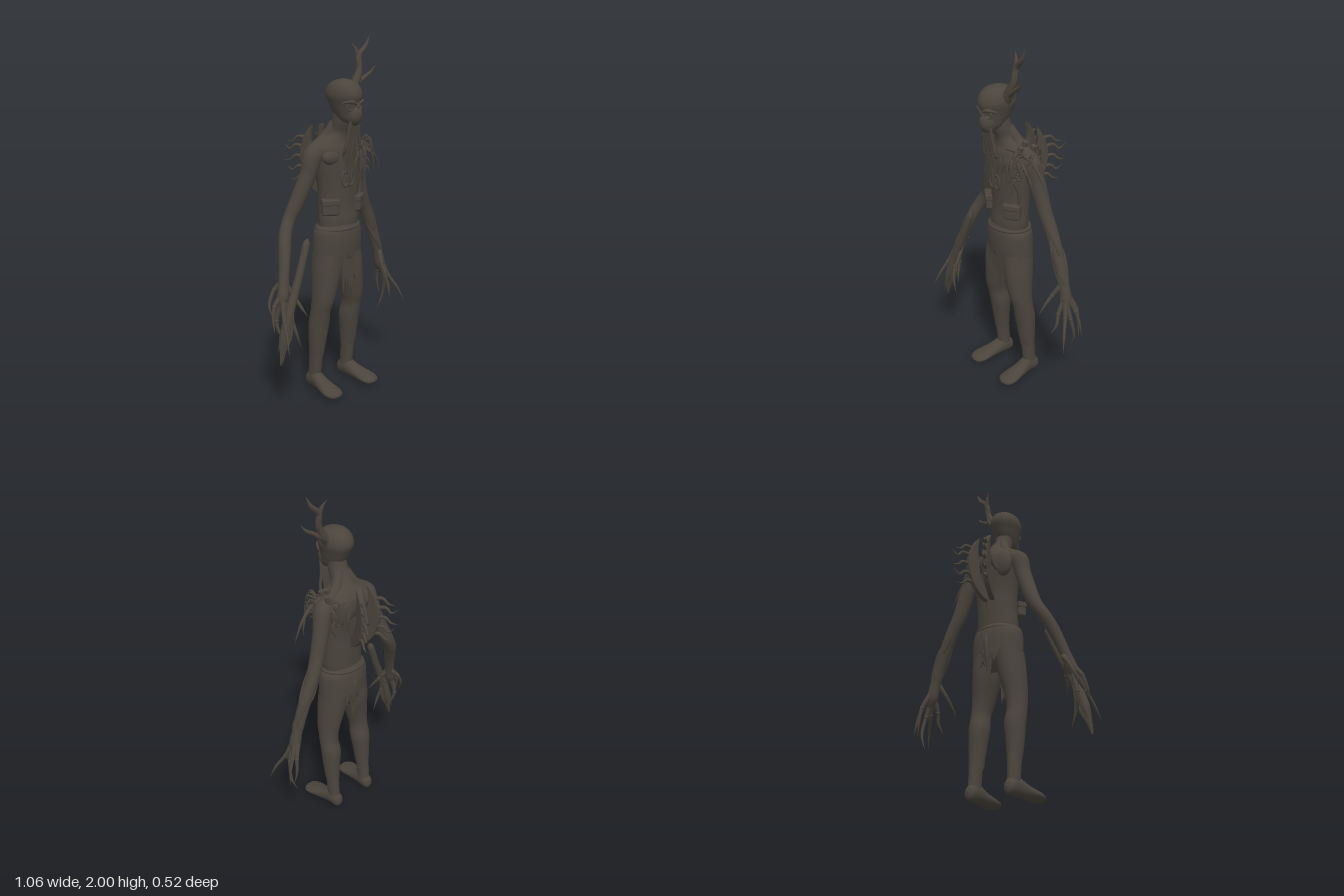
import * as THREE from 'three';
import { RoundedBoxGeometry } from 'three/addons/geometries/RoundedBoxGeometry.js';

const hide = new THREE.MeshStandardMaterial({ color: 0x4a443c, side: THREE.DoubleSide });
hide.name = 'dark bark';

let seed = 7;
const rnd = (a, b) => {
  seed = (seed * 16807) % 2147483647;
  return a + (b - a) * seed / 2147483647;
};
const V = (p) => new THREE.Vector3(...p);

export function createModel() {
  const model = new THREE.Group();
  const add = (name, geo, parent = model) => {
    const m = new THREE.Mesh(geo, hide);
    m.name = name;
    parent.add(m);
    return m;
  };
  const group = (name) => {
    const g = new THREE.Group();
    g.name = name;
    model.add(g);
    return g;
  };

  // Joins equal rings of points into a smooth skin
  const skin = (rings) => {
    const n = rings[0].length, pos = [], idx = [];
    rings.forEach((r) => r.forEach((p) => pos.push(p.x, p.y, p.z)));
    for (let i = 0; i < rings.length - 1; i++) for (let j = 0; j < n; j++) {
      const a = i * n + j, b = i * n + (j + 1) % n;
      idx.push(a, b, a + n, b, b + n, a + n);
    }
    const g = new THREE.BufferGeometry();
    g.setAttribute('position', new THREE.Float32BufferAttribute(pos, 3));
    g.setIndex(idx);
    g.computeVertexNormals();
    return g;
  };

  // Body volume from rows of x, y, z, half width, half depth, rising in y; ragged tears the lowest edge
  const loft = (rows, ragged = 0, sides = 28) => {
    const path = new THREE.CatmullRomCurve3(rows.map((r) => V(r.slice(0, 3))), false, 'catmullrom');
    const size = new THREE.CatmullRomCurve3(rows.map((r) => V([r[3], r[4], 0])), false, 'catmullrom');
    const n = (rows.length - 1) * 5, rings = [];
    for (let i = 0; i <= n; i++) {
      const c = path.getPoint(i / n), s = size.getPoint(i / n), ring = [];
      for (let j = 0; j < sides; j++) {
        const a = j / sides * Math.PI * 2;
        const tear = i === 0 ? rnd(-ragged, ragged) : 0;
        ring.push(new THREE.Vector3(c.x + Math.max(0, s.x) * Math.cos(a), c.y + tear, c.z - Math.max(0, s.y) * Math.sin(a)));
      }
      rings.push(ring);
    }
    return skin(rings);
  };

  // Tapering limb through points with one radius per point
  const limb = (pts, radii, sides = 8, steps = 5) => {
    const curve = new THREE.CatmullRomCurve3(pts.map(V));
    const n = (pts.length - 1) * steps, f = curve.computeFrenetFrames(n), rings = [];
    for (let i = 0; i <= n; i++) {
      const u = i / n, t = curve.getUtoTmapping(u) * (pts.length - 1);
      const k = Math.min(Math.floor(t), pts.length - 2);
      const r = THREE.MathUtils.lerp(radii[k], radii[k + 1], t - k), c = curve.getPointAt(u), ring = [];
      for (let j = 0; j < sides; j++) {
        const a = j / sides * Math.PI * 2;
        ring.push(c.clone().addScaledVector(f.normals[i], r * Math.cos(a)).addScaledVector(f.binormals[i], r * Math.sin(a)));
      }
      rings.push(ring);
    }
    return skin(rings);
  };
  const ball = (name, p, r, parent) => {
    const m = add(name, new THREE.SphereGeometry(1, 20, 14), parent);
    m.position.set(...p);
    m.scale.set(...r);
    return m;
  };

  // Torso and neck
  add('torso', loft([[-.005, .95, .07, .122, .09], [-.002, 1.01, .07, .127, .092], [0, 1.08, .065, .125, .09], [0, 1.2, .063, .132, .093],
    [-.005, 1.32, .055, .15, .103], [-.01, 1.4, .052, .158, .1], [-.012, 1.445, .055, .12, .085],
    [-.012, 1.49, .075, .062, .068], [-.015, 1.55, .108, .053, .058], [-.018, 1.63, .125, .05, .05]]));
  for (const s of [-1, 1]) {
    ball('chestMuscle', [s * .07 - .007, 1.36, .108], [.075, .05, .04]);
    ball('shoulderBlade', [s * .08 - .007, 1.35, -.008], [.065, .085, .035]);
    add('collarbone', limb([[s * .02 - .01, 1.43, .13], [s * .08, 1.44, .115], [s * .14, 1.42, .07]], [.006, .011, .01]));
    add('shoulderSlope', limb([[s * .02 - .015, 1.54, .08], [s * .065 - .01, 1.46, .05], [s * .145 - .007, 1.4, .045]], [.03, .034, .04], 12));
  }

  // Head with brow, sockets and jutting mask
  const head = group('head');
  add('skull', loft([[-.016, 1.535, .18, 0, 0], [-.016, 1.56, .165, .042, .055], [-.018, 1.6, .147, .06, .08], [-.02, 1.645, .137, .074, .096],
    [-.021, 1.69, .133, .086, .113], [-.021, 1.735, .131, .077, .1], [-.021, 1.765, .13, .05, .062],
    [-.021, 1.78, .13, 0, 0]]), head);
  ball('muzzle', [-.013, 1.59, .195], [.045, .062, .054], head);
  ball('nose', [-.015, 1.635, .225], [.013, .03, .016], head);
  for (const s of [-1, 1]) {
    const x = s * .037 - .018;
    add('brow', limb([[x - s * .03, 1.65, .235], [x, 1.663, .229], [x + s * .035, 1.655, .193]], [.007, .012, .005]), head);
    const rim = add('eyeSocket', new THREE.TorusGeometry(.018, .005, 8, 18), head);
    rim.position.set(x, 1.635, .218);
    rim.rotation.y = s * .5;
  }

  // Single antler on the left side
  const antler = group('antler');
  add('antlerBeam', limb([[.025, 1.68, .12], [.07, 1.75, .125], [.105, 1.82, .12], [.11, 1.89, .11], [.16, 1.94, .11], [.19, 2, .115]],
    [.032, .025, .019, .017, .013, 0]), antler);
  add('antlerTine', limb([[.11, 1.87, .11], [.1, 1.92, .1], [.075, 1.965, .085]], [.016, .011, 0]), antler);
  add('antlerTine', limb([[.075, 1.74, .125], [.135, 1.78, .135], [.175, 1.805, .14], [.205, 1.845, .15]], [.017, .012, .009, 0]), antler);
  add('antlerTine', limb([[.06, 1.72, .12], [.085, 1.745, .1], [.09, 1.79, .085]], [.018, .012, 0]), antler);

  // Beard of hanging roots
  const beard = group('beard');
  for (let i = 0; i < 7; i++) {
    const x = -.058 + i * .0145, end = 1.33 - .13 * Math.sin(i / 6 * Math.PI) + rnd(-.03, .03);
    add('beardRoot', limb([[x * .7, 1.57, .21], [x * .85, 1.5, .2], [x + rnd(-.015, .015), 1.4, .188], [x + rnd(-.01, .01), end + .05, .172], [x + rnd(-.02, .02), end, .18]],
      [.009, .01, .008, .007, 0], 6), beard);
  }
  for (const x of [-.035, .005]) {
    const loop = add('beardLoop', new THREE.TorusGeometry(.025, .006, 6, 16), beard);
    loop.position.set(x, 1.24, .16);
    loop.scale.y = 1.6;
  }

  // Hips, ragged trousers, shins and feet
  add('hips', loft([[-.005, .7, .06, .04, .05], [-.005, .78, .062, .135, .098], [-.005, .88, .065, .148, .107],
    [-.005, .95, .068, .142, .104], [-.005, .985, .07, .11, .09]]));
  add('waistCloth', loft([[-.005, .8, .063, .157, .108], [-.005, .88, .065, .156, .112], [-.005, .94, .067, .15, .109], [-.005, .97, .068, .13, .1]], .025, 40));
  const hem = add('waistRoll', new THREE.TorusGeometry(.133, .01, 8, 40));
  hem.rotation.set(Math.PI / 2, .04, 0);
  hem.scale.y = .76;
  hem.position.set(-.005, .96, .068);
  for (const s of [-1, 1]) {
    const side = s > 0 ? 'left' : 'right', X = (x) => s * x - .009;
    add(side + 'Trouser', loft([[X(.124), .2, .03, .041, .044], [X(.122), .3, .038, .05, .053], [X(.118), .4, .046, .058, .062],
      [X(.12), .48, .062, .053, .062], [X(.11), .56, .073, .06, .073], [X(.087), .7, .07, .076, .09], [X(.077), .82, .065, .074, .094]], .022));
    add(side + 'Shin', loft([[X(.125), .04, .012, .034, .042], [X(.125), .12, .02, .034, .042], [X(.124), .3, .035, .04, .045]]));
    const foot = add(side + 'Foot', loft([[X(.125), -.045, -.045, 0, 0], [X(.125), -.03, -.045, .03, .038], [X(.127), .03, -.055, .038, .053],
      [X(.135), .1, -.04, .046, .038], [X(.143), .18, -.027, .057, .026], [X(.143), .225, -.021, .042, .018], [X(.142), .242, -.02, 0, 0]]));
    foot.rotation.x = Math.PI / 2;
  }

  // Tattered cloth hanging in front and behind
  const flap = (name, pts, y, z, tilt) => {
    const g = new THREE.ExtrudeGeometry(new THREE.Shape(pts.map((p) => new THREE.Vector2(...p))), { depth: .009, bevelEnabled: false });
    const m = add(name, g);
    m.position.set(0, y, z);
    m.rotation.x = tilt;
  };
  flap('frontCloth', [[-.075, 0], [-.08, -.06], [-.07, -.12], [-.06, -.05], [-.045, -.16], [-.037, -.24], [-.03, -.13], [-.015, -.19],
    [-.008, -.14], [.008, -.23], [.016, -.2], [.03, -.25], [.038, -.13], [.055, -.17], [.065, -.06], [.07, 0]], .82, .152, .03);
  flap('rearCloth', [[-.06, 0], [-.065, -.04], [-.045, -.07], [-.03, -.03], [-.015, -.13], [0, -.21], [.012, -.1], [.03, -.05], [.05, -.09], [.06, 0]], .82, -.035, -.06);
  add('tailTuft', limb([[0, .94, -.025], [0, .88, -.042], [0, .78, -.035], [.005, .68, -.02]], [.006, .016, .014, 0]));

  // Belt pouches wrapping the front corners
  for (const s of [-1, 1]) {
    const pouch = group('pouch');
    add('pouchBody', new RoundedBoxGeometry(.095, .09, .05, 3, .014), pouch);
    add('pouchFlap', new RoundedBoxGeometry(.1, .035, .056, 3, .008), pouch).position.y = .028;
    pouch.position.set(s * .104 - .008, 1.088, .125);
    pouch.rotation.y = s * .55;
  }
  add('strap', limb([[.125, 1.1, .1], [.135, 1.2, .11], [.12, 1.3, .14], [.1, 1.42, .115]], [.01, .01, .01, .01], 6));

  // Arms
  add('rightArm', limb([[-.09, 1.39, .05], [-.16, 1.38, .048], [-.2, 1.27, .042], [-.265, 1.11, .015], [-.305, 1.03, .004], [-.345, .96, .02], [-.375, .89, .05], [-.42, .75, .095], [-.45, .65, .12], [-.47, .59, .13]],
    [.05, .057, .046, .042, .036, .036, .035, .029, .033, .012], 16));
  add('leftArm', limb([[.08, 1.39, .05], [.145, 1.375, .045], [.185, 1.26, .025], [.235, 1.1, .01], [.28, 1, .0], [.325, .9, .0], [.365, .8, 0], [.395, .71, 0], [.415, .63, 0], [.43, .58, 0]],
    [.05, .056, .046, .041, .037, .036, .033, .03, .034, .012], 16));

  // Long clawed fingers
  const fingers = { right: [
    [[-.46, .64, .13], [-.49, .54, .18], [-.51, .47, .225], [-.53, .385, .265]],
    [[-.46, .66, .12], [-.505, .61, .115], [-.525, .54, .13], [-.53, .47, .15]],
    [[-.45, .63, .14], [-.43, .53, .17], [-.415, .45, .19], [-.385, .36, .195]],
    [[-.46, .62, .11], [-.48, .52, .1], [-.475, .46, .115], [-.445, .39, .14]],
    [[-.42, .71, .11], [-.39, .64, .15], [-.375, .59, .185], [-.355, .54, .215]],
    [[-.42, .72, .08], [-.455, .68, .055], [-.495, .6, .06], [-.5, .54, .09]]],
  left: [
    [[.42, .64, .01], [.455, .55, .04], [.495, .47, .08], [.525, .38, .11]],
    [[.42, .63, .01], [.455, .53, 0], [.465, .42, -.02], [.43, .325, -.03]],
    [[.42, .65, -.01], [.46, .57, -.03], [.485, .5, -.04], [.5, .41, -.05]],
    [[.41, .65, -.02], [.445, .57, -.05], [.455, .49, -.06], [.47, .4, -.05]],
    [[.39, .72, .02], [.365, .66, .06], [.355, .61, .1], [.345, .55, .14]],
    [[.41, .64, .01], [.41, .56, .05], [.42, .5, .07], [.4, .44, .1]]] };
  for (const side of ['right', 'left']) {
    const hand = group(side + 'Hand');
    for (const f of fingers[side]) {
      add('finger', limb(f, [.018, .011, .0085, 0]), hand);
      ball('knuckle', f[1], [.013, .013, .013], hand);
    }
  }

  // Club with a splintered lower end
  const club = group('club');
  add('clubShaft', limb([[-.285, .95, .135], [-.287, .943, .135], [-.295, .92, .135], [-.36, .76, .15], [-.44, .58, .165], [-.48, .45, .17], [-.515, .3, .175]],
    [0, .015, .021, .022, .025, .032, .004], 10), club);
  for (let i = 0; i < 6; i++) {
    const a = i * 1.05, x = Math.cos(a) * .022, z = Math.sin(a) * .022;
    add('splinter', limb([[-.445 + x, .57, .165 + z], [-.475 + x * 1.3, .45, .17 + z * 1.2], [-.51 + x * .5, rnd(.29, .37), .175 + z]], [.007, .01, 0], 6), club);
  }

  // Thorned fins on the back
  const outline = new THREE.Shape();
  outline.moveTo(0, 1.13);
  outline.quadraticCurveTo(.09, 1.16, .12, 1.28);
  outline.quadraticCurveTo(.15, 1.4, .06, 1.51);
  outline.quadraticCurveTo(.085, 1.42, .058, 1.37);
  outline.quadraticCurveTo(.075, 1.26, 0, 1.18);
  for (const s of [-1, 1]) {
    const fin = group('backFin');
    add('finPlate', new THREE.ExtrudeGeometry(outline, { depth: .018, bevelEnabled: true, bevelSize: .005, bevelThickness: .006, bevelSegments: 2, curveSegments: 10 }), fin).position.z = -.009;
    [[.085, 1.21], [.105, 1.26], [.118, 1.32], [.12, 1.38], [.1, 1.43]].forEach(([x, y], i) =>
      add('finThorn', limb([[x - .02, y, 0], [x + .045, y + .014, s * .008], [x + .075, y - .012, s * .014], [x + .115, y + (i % 2 ? .02 : -.015), s * .02]], [.014, .009, .007, 0], 6), fin));
    add('finRoot', limb([[.065, 1.39, 0], [.02, 1.33, s * .02], [-.02, 1.3, s * .05]], [.016, .01, .018]), fin);
    fin.position.set(s * .022 - .014, 0, -.035);
    fin.rotation.y = Math.PI / 2 - s * .27;
  }
  add('spine', limb([[0, 1.02, -.018], [0, 1.15, -.026], [-.005, 1.3, -.04], [-.01, 1.43, -.025]], [.005, .014, .016, .006]));

  // Thorny growth over the left shoulder, and vines down chest, back and arm
  const growth = group('shoulderGrowth');
  add('longTwig', limb([[.1, 1.43, .09], [.2, 1.4, .08], [.275, 1.33, .075], [.335, 1.22, .07]], [.013, .011, .009, 0], 6), growth);
  add('longTwig', limb([[.12, 1.4, .1], [.19, 1.37, .12], [.23, 1.3, .11], [.25, 1.22, .1]], [.011, .009, .007, 0], 6), growth);
  for (let i = 0; i < 26; i++) {
    const a = rnd(-2.6, 2.6), y = rnd(1.28, 1.44), c = Math.cos(a), s = Math.sin(a), r = rnd(.04, .07);
    const x = .14 + c * .045, z = .048 + s * .06;
    add('thorn', limb([[x, y, z], [x + c * r * .5, y + rnd(0, .04), z + s * r * .4], [x + c * r * .7, y + rnd(-.05, .03), z + s * r * .7],
      [x + c * r, y + rnd(-.1, .05), z + s * r]], [.009, .007, .005, 0], 5, 3), growth);
  }
  for (const [x, y, z] of [[.105, 1.455, .05], [.135, 1.435, .02], [.115, 1.435, .09]]) {
    const stump = add('stump', new THREE.CylinderGeometry(.014, .022, .06, 8), growth);
    stump.position.set(x, y, z);
    stump.rotation.z = -.4;
  }
  for (let i = 0; i < 8; i++) {
    const x = .14 - i * .017, z = i % 2 ? .152 : -.04, bend = rnd(-.03, .03);
    add('vine', limb([[x, 1.42, z * .8], [x + bend, 1.37, z], [x - bend, 1.3, z], [x + bend, rnd(1.15, 1.24), z * .96]], [.007, .009, .007, 0], 6), growth);
  }
  for (let i = 0; i < 5; i++) {
    const a = i * 1.26, c = Math.cos(a) * .033, s = Math.sin(a) * .034;
    add('armVine', limb([[.235 + c, 1.1, .01 + s], [.325 + s, .9, c], [.38 - c * .85, .76, -s * .85], [.415 - s * .9, .64, c * 1.2]], [.004, .009, .008, 0], 6), growth);
  }
  return model;
}
